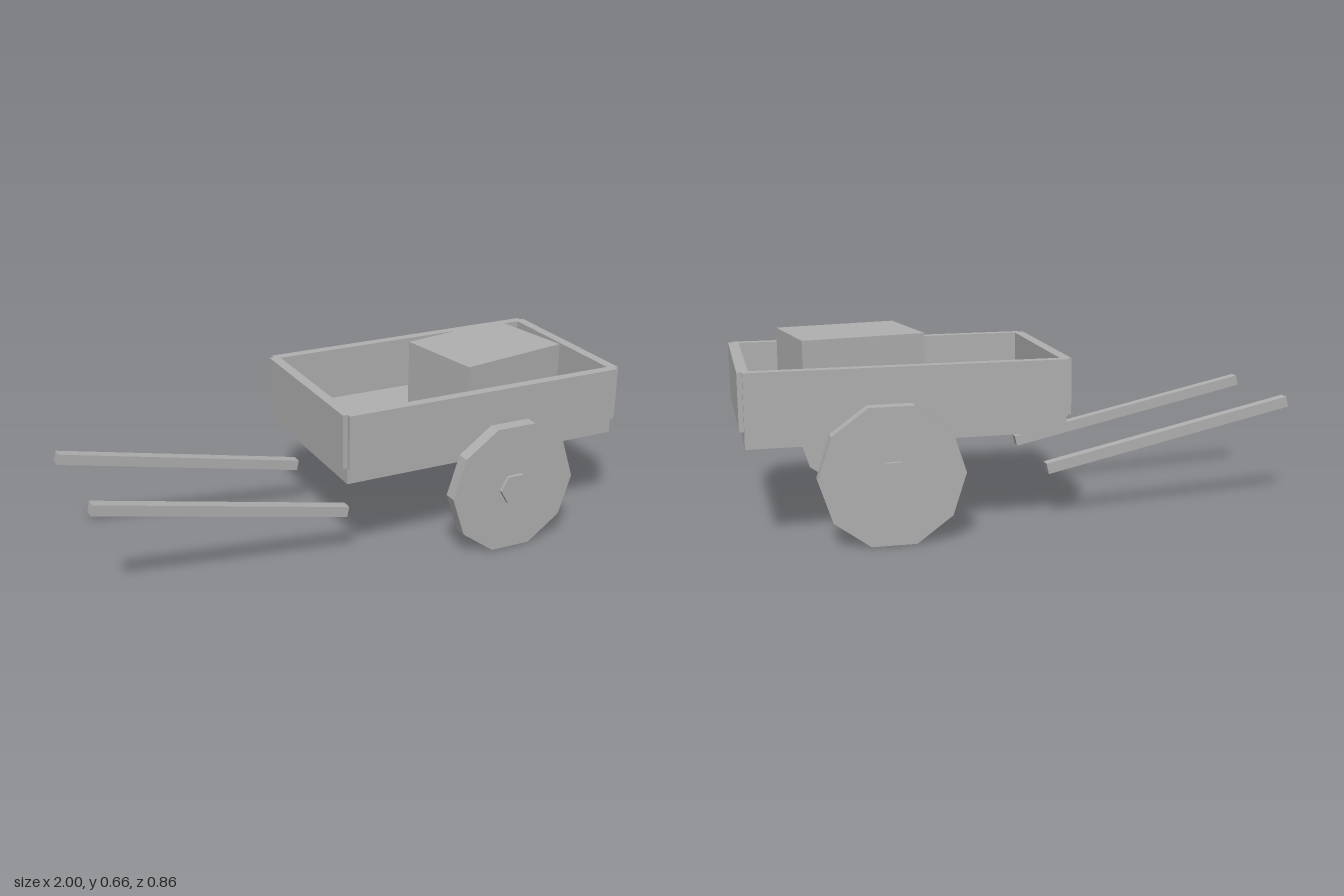
import * as THREE from 'three';

export function createModel() {
  const cart = new THREE.Group();
  cart.name = 'handcart';
  const grey = new THREE.MeshStandardMaterial({ color: 0xb0b0b0 });
  grey.name = 'plain grey';

  const add = (name, geometry, x, y, z) => {
    const mesh = new THREE.Mesh(geometry, grey);
    mesh.name = name;
    mesh.position.set(x, y, z);
    cart.add(mesh);
    return mesh;
  };
  const box = (name, w, h, d, x, y, z) => add(name, new THREE.BoxGeometry(w, h, d), x, y, z);

  // Faceted cylinder lying along z, with a corner pointing to +x
  const disc = (name, radius, sides, length, x, y, z) => {
    const g = new THREE.CylinderGeometry(radius, radius, length, sides, 1, false, Math.PI / 2);
    g.rotateX(Math.PI / 2);
    // Separate vertices so that every side stays flat
    const flat = g.toNonIndexed();
    flat.computeVertexNormals();
    return add(name, flat, x, y, z);
  };

  // Tray: floor and four walls whose ends leave small notched corners
  const midX = 0.43;
  box('floor', 1.098, 0.06, 0.648, midX, 0.367, 0);
  for (const [side, s] of [['left', 1], ['right', -1]]) {
    box(side + 'EndWall', 0.038, 0.198, 0.648, midX + s * 0.547, 0.496, 0);
  }
  for (const [side, s] of [['front', 1], ['back', -1]]) {
    box(side + 'SideWall', 1.098, 0.198, 0.037, midX, 0.496, s * 0.3235);
  }

  // Crate lying askew in the tray
  box('crate', 0.443, 0.268, 0.344, 0.58, 0.531, 0.05).rotation.y = Math.PI / 18;

  // Axle, wheels, hubs and pulling shafts
  const axleX = 0.505, axleY = 0.2375;
  disc('axle', 0.0283, 6, 0.76, axleX, axleY, 0);
  for (const [side, s] of [['front', 1], ['back', -1]]) {
    disc(side + 'Wheel', 0.2497, 10, 0.049, axleX, axleY, s * 0.389);
    disc(side + 'Hub', 0.059, 6, 0.077, axleX, axleY, s * 0.389);
    box(side + 'Shaft', 0.941, 0.039, 0.039, -0.536, 0.284, s * 0.224).rotation.z = -0.212;
  }

  return cart;
}
